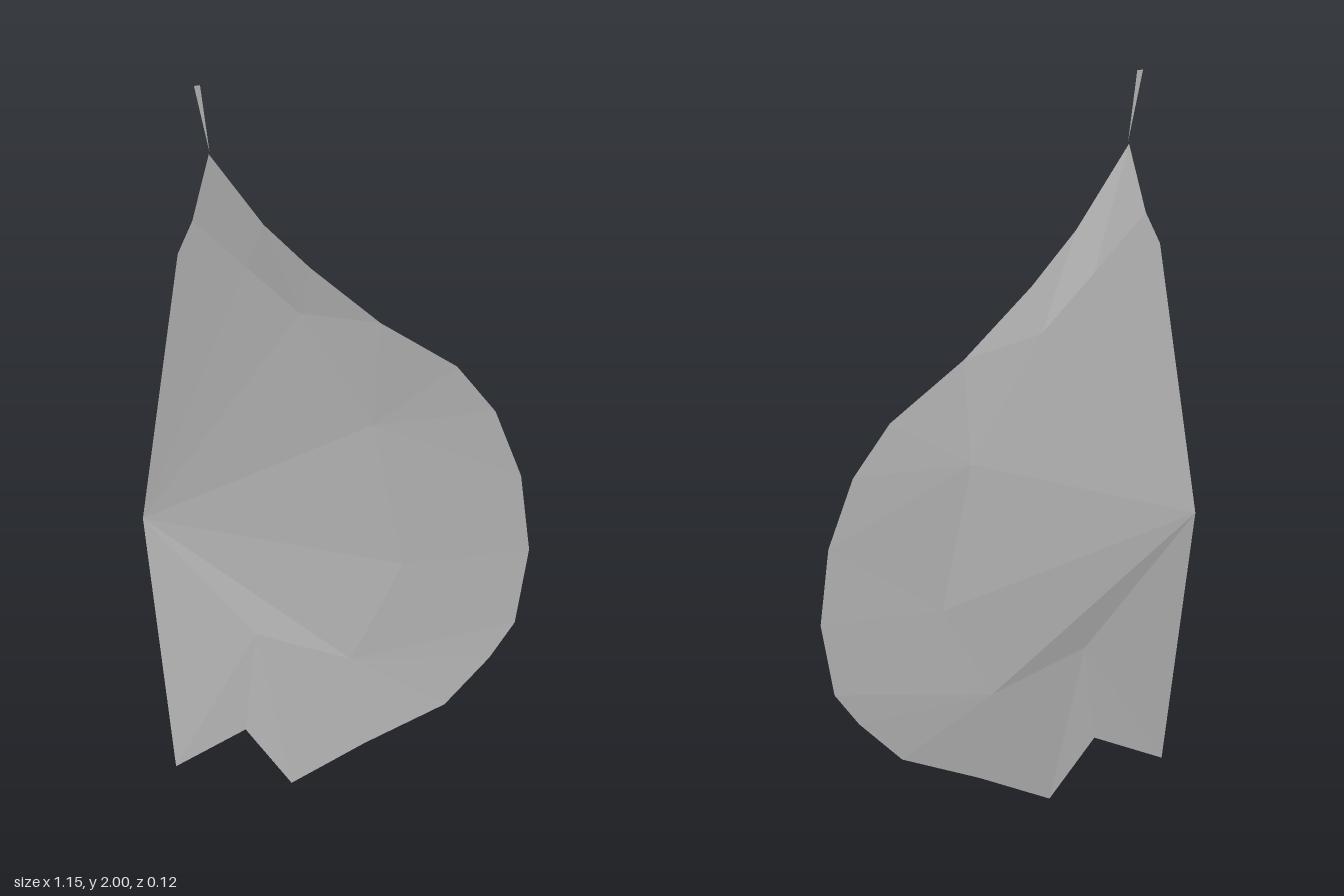
import * as THREE from 'three';

// Outer edge of the leaf, clockwise from the upper left
const RIM = [
  [-0.51, 1.52, 0.01], [-0.47, 1.61, 0.02], [-0.435, 1.8, 0.05], [-0.26, 1.58, 0.045],
  [-0.11, 1.44, 0.037], [0.11, 1.26, 0.037], [0.35, 1.11, 0.037], [0.47, 0.97, 0.037],
  [0.55, 0.78, 0.037], [0.575, 0.57, 0.037], [0.53, 0.37, 0.037], [0.45, 0.28, 0.037],
  [0.31, 0.165, 0.037], [0.06, 0.085, 0.037], [-0.17, 0, 0.04], [-0.3, 0.16, 0.015],
  [-0.515, 0.08, 0.01],
];

// Inner fold points, each with the first and last rim point it fans out to
const FOLD = [
  { p: [-0.3, 1.46, 0.016], from: 0, to: 3 },
  { p: [-0.13, 1.31, 0.016], from: 3, to: 5 },
  { p: [0.1, 0.97, 0.015], from: 5, to: 8 },
  { p: [0.19, 0.57, 0.02], from: 8, to: 10 },
  { p: [0.03, 0.32, 0.015], from: 10, to: 13 },
  { p: [-0.26, 0.42, 0], from: 13, to: 16 },
];

const HINGE = [-0.58, 0.77, -0.06];

function facets(triangles) {
  const geometry = new THREE.BufferGeometry();
  geometry.setAttribute('position', new THREE.Float32BufferAttribute(triangles.flat(2), 3));
  geometry.computeVertexNormals();
  return geometry;
}

export function createModel() {
  const group = new THREE.Group();
  group.name = 'leaf';
  const grey = new THREE.MeshStandardMaterial({ color: 0xb8b8b8, side: THREE.DoubleSide, flatShading: true });
  grey.name = 'grey';

  const add = (name, triangles) => {
    const mesh = new THREE.Mesh(facets(triangles), grey);
    mesh.name = name;
    group.add(mesh);
  };

  // Inner fan around the hinge point
  const spokes = [RIM[0], ...FOLD.map((f) => f.p), RIM[16]];
  const inner = [];
  for (let i = 0; i < spokes.length - 1; i++) inner.push([HINGE, spokes[i + 1], spokes[i]]);
  add('bladeCentre', inner);

  // Band between the fold points and the rim
  const outer = [];
  FOLD.forEach((f, i) => {
    for (let k = f.from; k < f.to; k++) outer.push([f.p, RIM[k + 1], RIM[k]]);
    if (i < FOLD.length - 1) outer.push([f.p, FOLD[i + 1].p, RIM[f.to]]);
  });
  add('bladeRim', outer);

  // Thin stem sliver above the tip
  add('stem', [[[-0.435, 1.805, 0.055], [-0.468, 2, 0.06], [-0.487, 2, 0.06]]]);

  return group;
}
